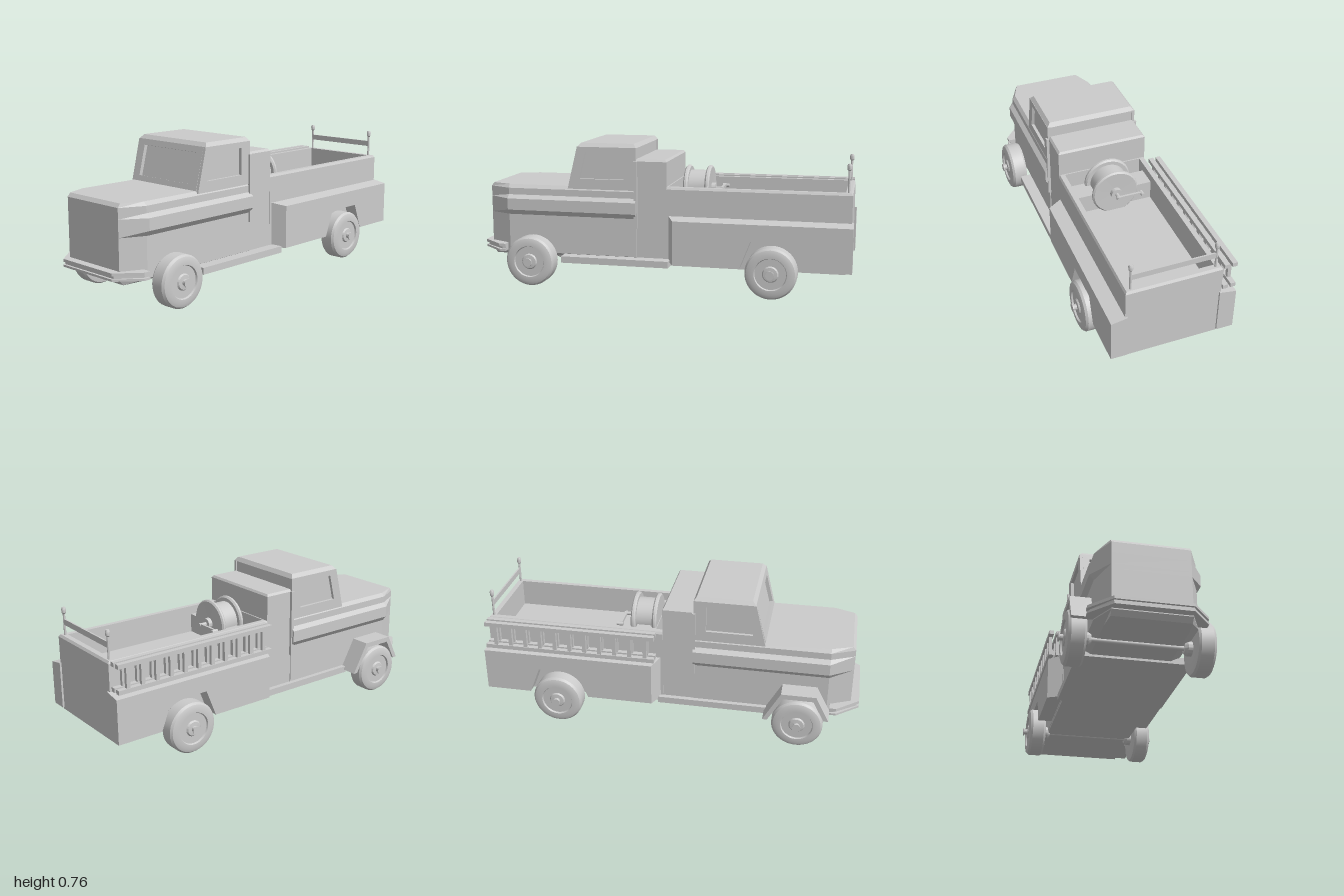
import * as THREE from 'three';
import { toCreasedNormals } from 'three/addons/utils/BufferGeometryUtils.js';

const grey = new THREE.MeshStandardMaterial({ color: 0xcccccc });
const flat = new THREE.MeshStandardMaterial({ color: 0xcccccc, flatShading: true });

function add(parent, name, geo, x = 0, y = 0, z = 0, mat = flat) {
  const m = new THREE.Mesh(geo, mat);
  m.name = name;
  m.position.set(x, y, z);
  parent.add(m);
  return m;
}

// box given by its limits
function box(parent, name, x0, x1, y0, y1, z0, z1) {
  return add(parent, name, new THREE.BoxGeometry(x1 - x0, y1 - y0, z1 - z0),
    (x0 + x1) / 2, (y0 + y1) / 2, (z0 + z1) / 2);
}

// closed skin through rings of [x, y, z]; rings run front left to front right, then back
function loft(rings) {
  const n = rings[0].length, idx = [], last = (rings.length - 1) * n;
  for (let r = 0; r < rings.length - 1; r++) {
    for (let i = 0; i < n; i++) {
      const a = r * n + i, b = r * n + (i + 1) % n;
      idx.push(a, b, b + n, a, b + n, a + n);
    }
  }
  for (let i = 1; i < n - 1; i++) {
    idx.push(0, i + 1, i);
    idx.push(last, last + i, last + i + 1);
  }
  const g = new THREE.BufferGeometry();
  g.setAttribute('position', new THREE.Float32BufferAttribute(rings.flat(2), 3));
  g.setIndex(idx);
  const out = g.toNonIndexed();
  out.computeVertexNormals();
  return out;
}
const rect = (w, y, z0, z1) => [[-w, y, z1], [w, y, z1], [w, y, z0], [-w, y, z0]];
// plan outline with cut front corners
const nose = (w, y, zf, zc, zb, f = 0.19) =>
  [[-f, y, zf], [f, y, zf], [w, y, zc], [w, y, zb], [-w, y, zb], [-w, y, zc]];

const poly = (pts, T = THREE.Shape) => new T(pts.map(p => new THREE.Vector2(p[0], p[1])));
// side profile in (z, y) extruded across x0..x1
function sideExtrude(pts, x0, x1, hole) {
  const s = poly(pts);
  if (hole) s.holes.push(poly(hole, THREE.Path));
  return new THREE.ExtrudeGeometry(s, { depth: x1 - x0, bevelEnabled: false })
    .rotateY(-Math.PI / 2).translate(x1, 0, 0);
}
function lathe(pts, seg = 32) {
  const g = new THREE.LatheGeometry(pts.map(p => new THREE.Vector2(p[0], p[1])), seg);
  return toCreasedNormals(g, 0.5);
}

function addCab(g) {
  // hood and lower cab with the raised belt
  const levels = [[0.14, 0.2, 0.935], [0.165, 0.248, 0.957], [0.37, 0.248, 0.957], [0.397, 0.27, 0.957],
    [0.458, 0.27, 0.957], [0.478, 0.248, 0.957], [0.513, 0.248, 0.957], [0.532, 0.232, 0.942]];
  add(g, 'hoodAndDoors', loft(levels.map(([y, w, zf]) => nose(w, y, zf, 0.835, 0.125))));

  // cabin: recessed core, framed sides and windshield, roof
  add(g, 'cabinGlass', sideExtrude([[0.48, 0.53], [0.425, 0.745], [0.13, 0.745], [0.13, 0.53]], -0.232, 0.232));
  const side = [[0.5, 0.52], [0.445, 0.745], [0.125, 0.745], [0.125, 0.52]];
  const win = [[0.435, 0.575], [0.4, 0.715], [0.19, 0.715], [0.19, 0.575]];
  add(g, 'cabinSide', sideExtrude(side, 0.232, 0.248, win));
  add(g, 'cabinSide', sideExtrude(side, -0.248, -0.232, win));
  const shield = poly([[-0.232, 0], [0.232, 0], [0.232, 0.222], [-0.232, 0.222]]);
  shield.holes.push(poly([[-0.197, 0.031], [0.197, 0.031], [0.197, 0.191], [-0.197, 0.191]], THREE.Path));
  const frame = new THREE.ExtrudeGeometry(shield, { depth: 0.022, bevelEnabled: false });
  add(g, 'windshieldFrame', frame.translate(0, 0, -0.022), 0, 0.53, 0.5).rotation.x = -0.25;
  add(g, 'roof', loft([rect(0.248, 0.743, 0.125, 0.445), rect(0.23, 0.765, 0.14, 0.425)]));

  // equipment box behind the cab
  add(g, 'equipmentBox', loft([rect(0.243, 0.14, -0.038, 0.13), rect(0.243, 0.675, -0.038, 0.13),
    rect(0.233, 0.686, -0.03, 0.125)]));
  for (const s of [-1, 1]) box(g, 'doorPillar', s * 0.25 - 0.008, s * 0.25 + 0.008, 0.32, 0.675, 0.118, 0.136);

  // bumper: two bars with a groove between
  const bar = (y0, y1, d) => loft([y0, y1].map(y => nose(0.285 - d, y, 1 - d, 0.885 - d, 0.85, 0.185)));
  add(g, 'bumperBar', bar(0.17, 0.181, 0));
  add(g, 'bumperBar', bar(0.195, 0.21, 0));
  add(g, 'bumperGroove', bar(0.181, 0.195, 0.012));
}

function addBed(g) {
  // open bed: outer wall, chamfered rim, inner wall, floor
  add(g, 'bed', loft([rect(0.245, 0.14, -0.99, -0.036), rect(0.245, 0.533, -0.99, -0.036),
    rect(0.238, 0.545, -0.982, -0.036), rect(0.212, 0.545, -0.955, -0.045), rect(0.212, 0.4, -0.955, -0.045)]));

  // side lockers with wheel arches; front outer edge is swept back
  const arch = [[-0.045, 0.15], [-0.045, 0.395], [-1, 0.395], [-1, 0.15], [-0.757, 0.15],
    [-0.702, 0.292], [-0.49, 0.292], [-0.435, 0.15]];
  for (const s of [-1, 1]) {
    const geo = s > 0 ? sideExtrude(arch, 0.235, 0.318) : sideExtrude(arch, -0.322, -0.235);
    const p = geo.attributes.position;
    for (let i = 0; i < p.count; i++) {
      if (Math.abs(p.getX(i)) < 0.3) continue;
      if (p.getZ(i) > -0.05) p.setZ(i, -0.085);
      if (p.getY(i) > 0.39) p.setY(i, 0.38);
    }
    geo.computeVertexNormals();
    add(g, 'sideLocker', geo);
  }

  // rear posts with lamps and a cross rail
  for (const s of [-1, 1]) {
    add(g, 'lampPost', lathe([[0, 0], [0.006, 0], [0.006, 0.115], [0.011, 0.122], [0.012, 0.14],
      [0.008, 0.15], [0, 0.15]], 12), s * 0.214, 0.54, -0.968, grey);
  }
  box(g, 'crossRail', -0.214, 0.214, 0.6, 0.63, -0.972, -0.964);
}

function addReel(g) {
  const reel = new THREE.Group();
  reel.name = 'hoseReel';
  reel.position.set(0, 0.51, -0.168);
  g.add(reel);
  // drum with rounded flanges, axis front to back
  add(reel, 'drum', lathe([[0, -0.09], [0.03, -0.09], [0.03, -0.068], [0.117, -0.07], [0.125, -0.063],
    [0.125, -0.053], [0.117, -0.045], [0.098, -0.045], [0.098, 0.045], [0.117, 0.045], [0.125, 0.053],
    [0.125, 0.063], [0.117, 0.07], [0, 0.07]]), 0, 0, 0, grey).rotation.x = Math.PI / 2;
  // crank
  const rod = (r, l) => toCreasedNormals(new THREE.CylinderGeometry(r, r, l, 12), 0.5);
  add(reel, 'crankShaft', rod(0.01, 0.05), 0, 0, -0.105, grey).rotation.x = Math.PI / 2;
  box(reel, 'crankArm', -0.13, 0.012, -0.008, 0.008, -0.127, -0.115);
  add(reel, 'crankHandle', rod(0.01, 0.035), -0.125, 0, -0.125, grey).rotation.x = Math.PI / 2;
  box(g, 'reelStand', -0.212, 0.212, 0.4, 0.5, -0.205, -0.095);
}

function addLadder(g, x) {
  const ladder = new THREE.Group();
  ladder.name = 'ladder';
  g.add(ladder);
  for (const y of [0.4, 0.528]) box(ladder, 'ladderRail', x - 0.013, x + 0.013, y, y + 0.022, -0.985, -0.07);
  for (let i = 0; i < 11; i++) {
    const z = -0.12 - i * 0.081;
    box(ladder, 'ladderRung', x - 0.009, x + 0.009, 0.42, 0.53, z - 0.01, z + 0.01);
  }
}

function addAxle(g, z) {
  const axle = new THREE.Group();
  axle.name = 'axleWithWheels';
  axle.position.set(0, 0.134, z);
  g.add(axle);
  const rod = new THREE.CylinderGeometry(0.012, 0.012, 0.5, 12);
  add(axle, 'axle', rod, 0, 0, 0, grey).rotation.z = Math.PI / 2;
  // tyre, dished disc and hub in one turned profile
  const profile = [[0, 0.225], [0.026, 0.225], [0.036, 0.24], [0.036, 0.262], [0.1, 0.26], [0.125, 0.264],
    [0.133, 0.275], [0.133, 0.338], [0.124, 0.35], [0.108, 0.356], [0.084, 0.356], [0.08, 0.347],
    [0.042, 0.347], [0.036, 0.355], [0.016, 0.357], [0.014, 0.373], [0.022, 0.374], [0.022, 0.38], [0, 0.38]];
  for (const s of [-1, 1]) add(axle, 'wheel', lathe(profile, 40), 0, 0, 0, grey).rotation.z = -s * Math.PI / 2;
}

export function createModel() {
  const model = new THREE.Group();
  model.name = 'fireTruck';
  const body = new THREE.Group();
  body.name = 'body';
  body.position.x = 0.007;
  model.add(body);
  addCab(body);
  addBed(body);
  addReel(body);

  // chassis and running boards
  box(model, 'chassis', -0.236, 0.25, 0.128, 0.16, -0.965, 0.525);
  box(model, 'runningBoard', 0.25, 0.315, 0.128, 0.163, -0.06, 0.525);
  box(model, 'runningBoard', -0.262, -0.236, 0.128, 0.163, -0.06, 0.525);

  // the one remaining front fender
  add(model, 'frontFender', sideExtrude([[0.85, 0.17], [0.78, 0.307], [0.6, 0.307], [0.51, 0.145],
    [0.535, 0.145], [0.612, 0.28], [0.766, 0.28], [0.825, 0.17]], -0.345, -0.235));

  addLadder(model, -0.302);
  addLadder(model, -0.262);
  addAxle(model, 0.69);
  addAxle(model, -0.597);
  return model;
}
